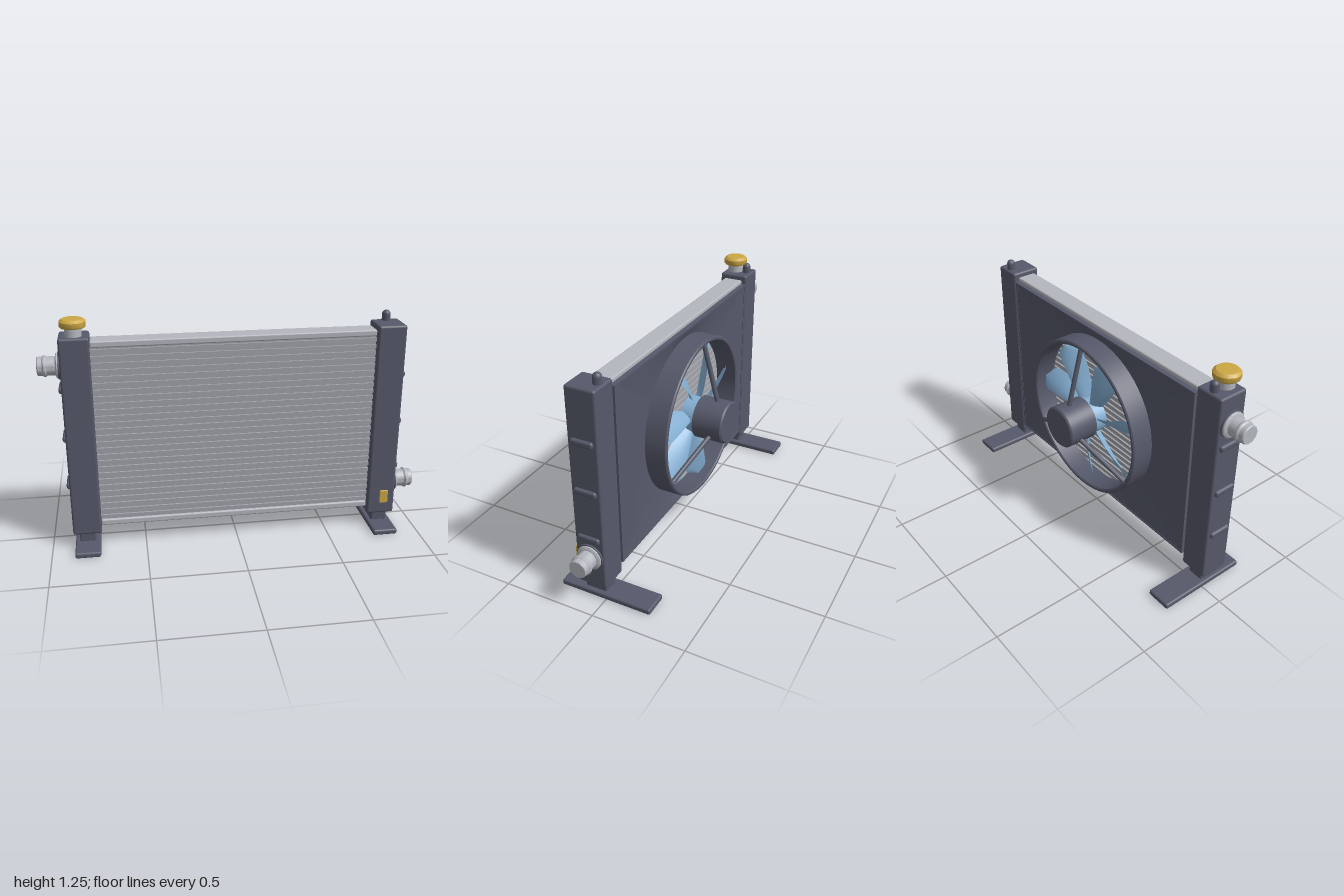
import * as THREE from 'three';
import { RoundedBoxGeometry } from 'three/addons/geometries/RoundedBoxGeometry.js';
import { toCreasedNormals } from 'three/addons/utils/BufferGeometryUtils.js';

const paint = (name, color, side = THREE.FrontSide) => {
  const m = new THREE.MeshStandardMaterial({ color, side });
  m.name = name;
  return m;
};

export function createModel() {
  const model = new THREE.Group();
  model.name = 'radiatorWithFan';
  const dark = paint('darkSlate', 0x56596a, THREE.DoubleSide);
  const metal = paint('aluminium', 0xb4b7be);
  const fin = paint('finGrey', 0xa2a4aa);
  const brass = paint('brass', 0xcca744);
  const blue = paint('fanBlue', 0x86b0d4, THREE.DoubleSide);
  const FAN_Y = 0.622;

  const add = (name, geo, mat, x = 0, y = 0, z = 0, parent = model) => {
    const mesh = new THREE.Mesh(geo, mat);
    mesh.name = name;
    mesh.position.set(x, y, z);
    parent.add(mesh);
    return mesh;
  };
  const rbox = (w, h, d, r) => new RoundedBoxGeometry(w, h, d, 2, r);
  const lathe = (pts, n = 40) => toCreasedNormals(
    new THREE.LatheGeometry(pts.map(p => new THREE.Vector2(...p)), n), 0.6);

  // core: rails, flat tubes and recessed fins
  for (const y of [0.13, 1.118]) add('coreRail', rbox(1.47, 0.034, 0.106, 0.008), metal, 0, y, 0.065);
  add('finPack', new THREE.BoxGeometry(1.47, 0.96, 0.08), fin, 0, 0.624, 0.065);
  const tubeGeo = new THREE.BoxGeometry(1.47, 0.019, 0.1);
  const TUBES = 27;
  for (let i = 0; i < TUBES; i++) {
    add('coolingTube', tubeGeo, fin, 0, 0.147 + (i + 0.5) * 0.954 / TUBES, 0.065);
  }

  // side tanks with ribs, vents, necks and feet
  for (const s of [-1, 1]) {
    add('sideTank', rbox(0.152, 1.08, 0.16, 0.012), dark, s * 0.811, 0.62, 0.065);
    for (const y of [0.36, 0.624, 0.888]) {
      add('tankRib', rbox(0.032, 0.034, 0.12, 0.012), dark, s * 0.886, y, 0.065);
    }
    add('ventPin', new THREE.CapsuleGeometry(0.022, 0.06, 6, 16), dark, s * 0.811, 1.163, 0.016);
    add('footNeck', rbox(0.086, 0.065, 0.118, 0.008), dark, s * 0.811, 0.058, 0.067);
    add('footPlate', rbox(0.134, 0.031, 0.502, 0.01), dark, s * 0.811, 0.0155, 0.004);
  }

  // hose ports, pointing outwards
  const portGeo = lathe([[0.001, 0], [0.066, 0], [0.066, 0.013], [0.06, 0.018], [0.048, 0.02], [0.048, 0.062],
    [0.055, 0.07], [0.055, 0.077], [0.048, 0.085], [0.048, 0.106], [0.044, 0.111], [0, 0.111]]);
  for (const [s, y] of [[-1, 1.005], [1, 0.255]]) {
    const port = new THREE.Group();
    port.name = 'hosePort';
    port.position.set(s * 0.889, y, 0.065);
    port.rotation.z = -s * Math.PI / 2;
    model.add(port);
    add('portBase', new THREE.CylinderGeometry(0.071, 0.071, 0.014, 40), dark, 0, 0, 0, port);
    add('portSpigot', portGeo, metal, 0, 0, 0, port);
  }

  // filler neck and cap
  add('fillerNeck', new THREE.CylinderGeometry(0.042, 0.042, 0.06, 32), metal, -0.811, 1.185, 0.087);
  add('fillerCap', lathe([[0, 0], [0.062, 0], [0.066, 0.006], [0.066, 0.03], [0.052, 0.042], [0, 0.045]], 14),
    brass, -0.811, 1.205, 0.087);

  // drain valve
  const stem = add('drainStem', new THREE.CylinderGeometry(0.012, 0.012, 0.05, 16), brass, 0.811, 0.178, 0.163);
  stem.rotation.x = Math.PI / 2;
  add('drainHandle', rbox(0.046, 0.073, 0.012, 0.003), brass, 0.811, 0.202, 0.182);

  // shroud rim
  const W = 0.725, H = 0.493, RING = 0.438;
  const rect = (C, w, h) => {
    const c = new C();
    c.moveTo(-w, -h); c.lineTo(w, -h); c.lineTo(w, h); c.lineTo(-w, h); c.closePath();
    return c;
  };
  const rim = rect(THREE.Shape, W, H);
  rim.holes.push(rect(THREE.Path, W - 0.01, H - 0.01));
  add('shroudRim', new THREE.ExtrudeGeometry(rim, { depth: 0.026, bevelEnabled: false }), dark, 0, FAN_Y, -0.014);

  // dished shroud panel, lofted from rectangle to circle
  const corner = Math.atan2(H, W);
  const angles = [corner, Math.PI - corner, Math.PI + corner, 2 * Math.PI - corner];
  for (let i = 0; i < 72; i++) angles.push(i * Math.PI / 36);
  angles.sort((a, b) => a - b);
  const pos = [], idx = [], STEPS = 6, N = angles.length;
  for (let j = 0; j <= STEPS; j++) {
    const t = j / STEPS;
    for (const a of angles) {
      const c = Math.cos(a), s = Math.sin(a);
      const edge = Math.min((W - 0.006) / Math.abs(c), (H - 0.006) / Math.abs(s));
      const r = edge + (RING - 0.008 - edge) * t;
      pos.push(r * c, r * s, -0.012 + 0.022 * t);
    }
  }
  for (let j = 0; j < STEPS; j++) for (let i = 0; i < N; i++) {
    const a = j * N + i, b = j * N + (i + 1) % N;
    idx.push(a, a + N, b, b, a + N, b + N);
  }
  const panel = new THREE.BufferGeometry();
  panel.setAttribute('position', new THREE.Float32BufferAttribute(pos, 3));
  // wind the faces towards the back
  for (let k = 0; k < idx.length; k += 3) [idx[k + 1], idx[k + 2]] = [idx[k + 2], idx[k + 1]];
  panel.setIndex(idx);
  panel.computeVertexNormals();
  if (panel.attributes.normal.getZ(0) > 0) {
    panel.setIndex(idx.reverse());
    panel.computeVertexNormals();
  }
  add('shroudPanel', panel, dark, 0, FAN_Y, 0);

  // fan assembly: local +y of each lathe points to the back
  const fan = new THREE.Group();
  fan.name = 'fanAssembly';
  fan.position.y = FAN_Y;
  model.add(fan);
  const ring = add('shroudRing', lathe([[0.414, -0.01], [RING, -0.01], [RING, 0.104], [0.432, 0.11],
    [0.42, 0.11], [0.414, 0.104], [0.414, -0.01]], 72), dark, 0, 0, 0, fan);
  ring.rotation.x = -Math.PI / 2;
  const motor = add('fanMotor', lathe([[0, 0.088], [0.114, 0.088], [0.114, 0.247], [0.106, 0.255], [0, 0.255]]),
    dark, 0, 0, 0, fan);
  motor.rotation.x = -Math.PI / 2;
  const hub = add('fanHub', new THREE.CylinderGeometry(0.1, 0.1, 0.075, 36), blue, 0, 0, -0.05, fan);
  hub.rotation.x = Math.PI / 2;

  // three struts from ring to motor
  for (let i = 0; i < 3; i++) {
    const a = Math.PI / 2 + i * 2 * Math.PI / 3;
    const at = (r, z) => new THREE.Vector3(r * Math.cos(a), r * Math.sin(a), z);
    const path = new THREE.LineCurve3(at(0.425, -0.1), at(0.1, -0.185));
    add('motorStrut', new THREE.TubeGeometry(path, 1, 0.013, 12), dark, 0, 0, 0, fan);
  }

  // one pitched, swept blade, repeated around the hub
  const blade = new THREE.PlaneGeometry(1, 1, 16, 8);
  const p = blade.attributes.position;
  for (let i = 0; i < p.count; i++) {
    const u = p.getX(i) + 0.5, v = p.getY(i);
    const tip = u > 0.8 ? Math.sqrt(Math.max(0, 1 - ((u - 0.8) / 0.2) ** 2)) : 1;
    const chord = (0.065 + 0.07 * Math.sin(Math.min(1, u / 0.8) * Math.PI / 2)) * (0.12 + 0.88 * tip);
    const pitch = 0.85 - 0.35 * u;
    const r = 0.09 + 0.305 * u;
    const camber = 0.012 * (1 - 4 * v * v);
    const side = v * chord * Math.cos(pitch) - 0.07 * u * u;
    p.setXYZ(i, r * Math.cos(side / r), r * Math.sin(side / r), -0.048 + v * chord * Math.sin(pitch) - camber);
  }
  blade.computeVertexNormals();
  for (let i = 0; i < 7; i++) {
    add('fanBlade', blade, blue, 0, 0, 0, fan).rotation.z = -Math.PI / 2 + 0.1 + i * 2 * Math.PI / 7;
  }
  return model;
}
